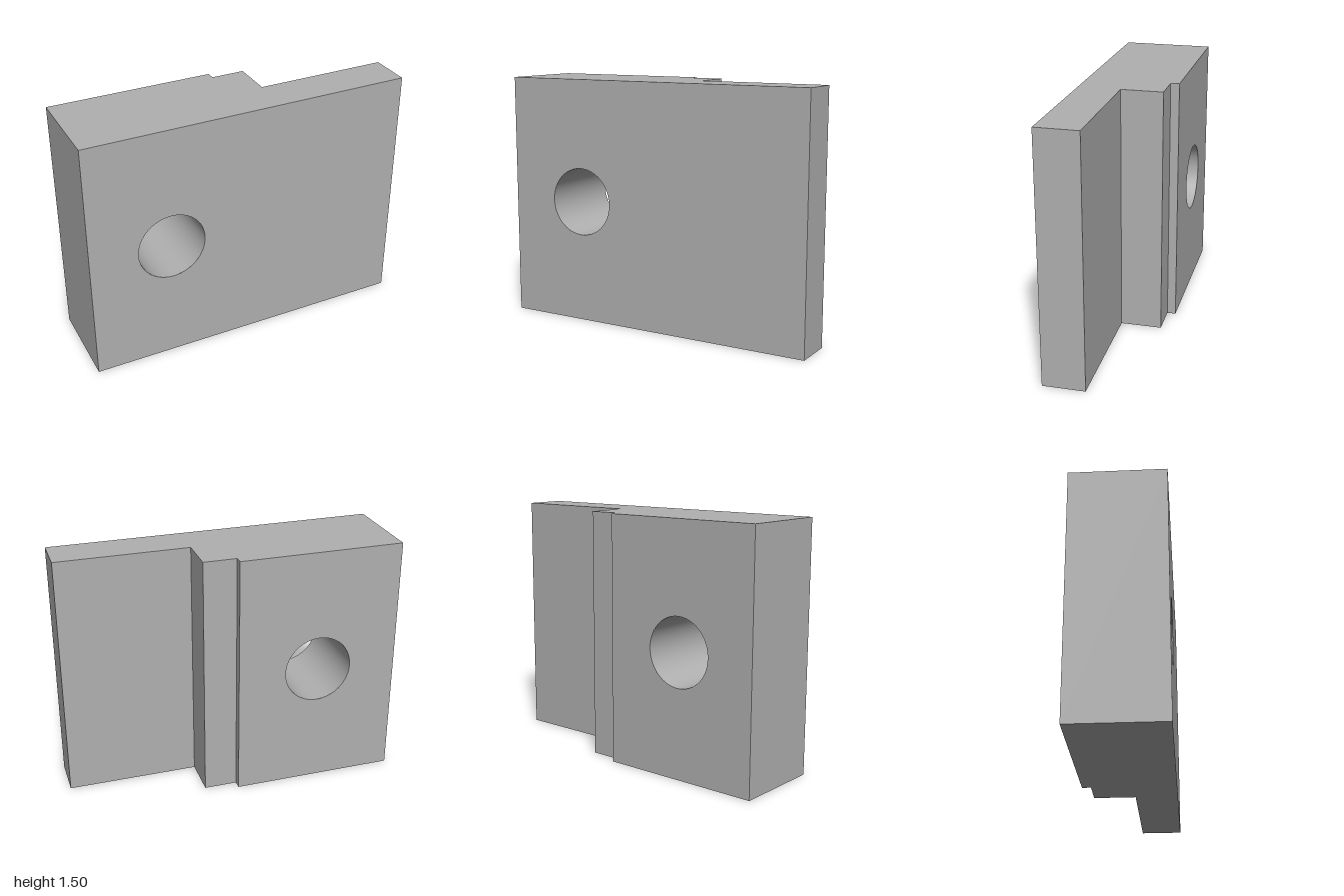
import * as THREE from 'three';

const HEIGHT = 1.5, HALF_DEPTH = 0.277;
const HOLE = { x: -0.5, y: 0.75, r: 0.207, segments: 64 };

// Stepped plan outline as (x, z), starting along the front face
const OUTLINE = [
  [-1, HALF_DEPTH], [1, HALF_DEPTH], [1, 0.024], [0.2, 0.024],
  [0.2, -0.225], [0, -0.225], [0, -HALF_DEPTH], [-1, -HALF_DEPTH],
];

export function createModel() {
  const group = new THREE.Group();
  group.name = 'steppedBlock';
  const grey = new THREE.MeshStandardMaterial({ color: 0xb0b0b0 });
  grey.name = 'grey';

  const add = (name, geometry) => {
    const mesh = new THREE.Mesh(geometry, grey);
    mesh.name = name;
    group.add(mesh);
    return mesh;
  };

  // Upright faces, one per outline edge; the front and rear pads are pierced
  const names = ['frontFace', 'flangeEnd', 'flangeBack', 'shoulder',
    'stepBack', 'stepSide', 'rearPad', 'bodyEnd'];
  OUTLINE.forEach(([x0, z0], i) => {
    const [x1, z1] = OUTLINE[(i + 1) % OUTLINE.length];
    const half = Math.hypot(x1 - x0, z1 - z0) / 2;
    const midX = (x0 + x1) / 2;
    const shape = new THREE.Shape([
      new THREE.Vector2(-half, 0), new THREE.Vector2(half, 0),
      new THREE.Vector2(half, HEIGHT), new THREE.Vector2(-half, HEIGHT),
    ]);
    if (names[i] === 'frontFace' || names[i] === 'rearPad') {
      const localX = (HOLE.x - midX) * Math.sign(x1 - x0);
      shape.holes.push(new THREE.Path().absarc(localX, HOLE.y, HOLE.r, 0, Math.PI * 2, true));
    }
    const wall = add(names[i], new THREE.ShapeGeometry(shape, HOLE.segments));
    wall.position.set(midX, 0, (z0 + z1) / 2);
    wall.rotation.y = Math.atan2(z0 - z1, x1 - x0);
  });

  // Top and bottom caps
  const cap = (sign) => new THREE.ShapeGeometry(
    new THREE.Shape(OUTLINE.map(([x, z]) => new THREE.Vector2(x, -sign * z))),
  ).rotateX(-sign * Math.PI / 2);
  add('topFace', cap(1)).position.y = HEIGHT;
  add('bottomFace', cap(-1));

  // Smooth bore, profile run downward so that it faces inward
  const bore = add('bore', new THREE.LatheGeometry([
    new THREE.Vector2(HOLE.r, HALF_DEPTH), new THREE.Vector2(HOLE.r, -HALF_DEPTH),
  ], HOLE.segments).rotateX(Math.PI / 2));
  bore.position.set(HOLE.x, HOLE.y, 0);

  return group;
}
